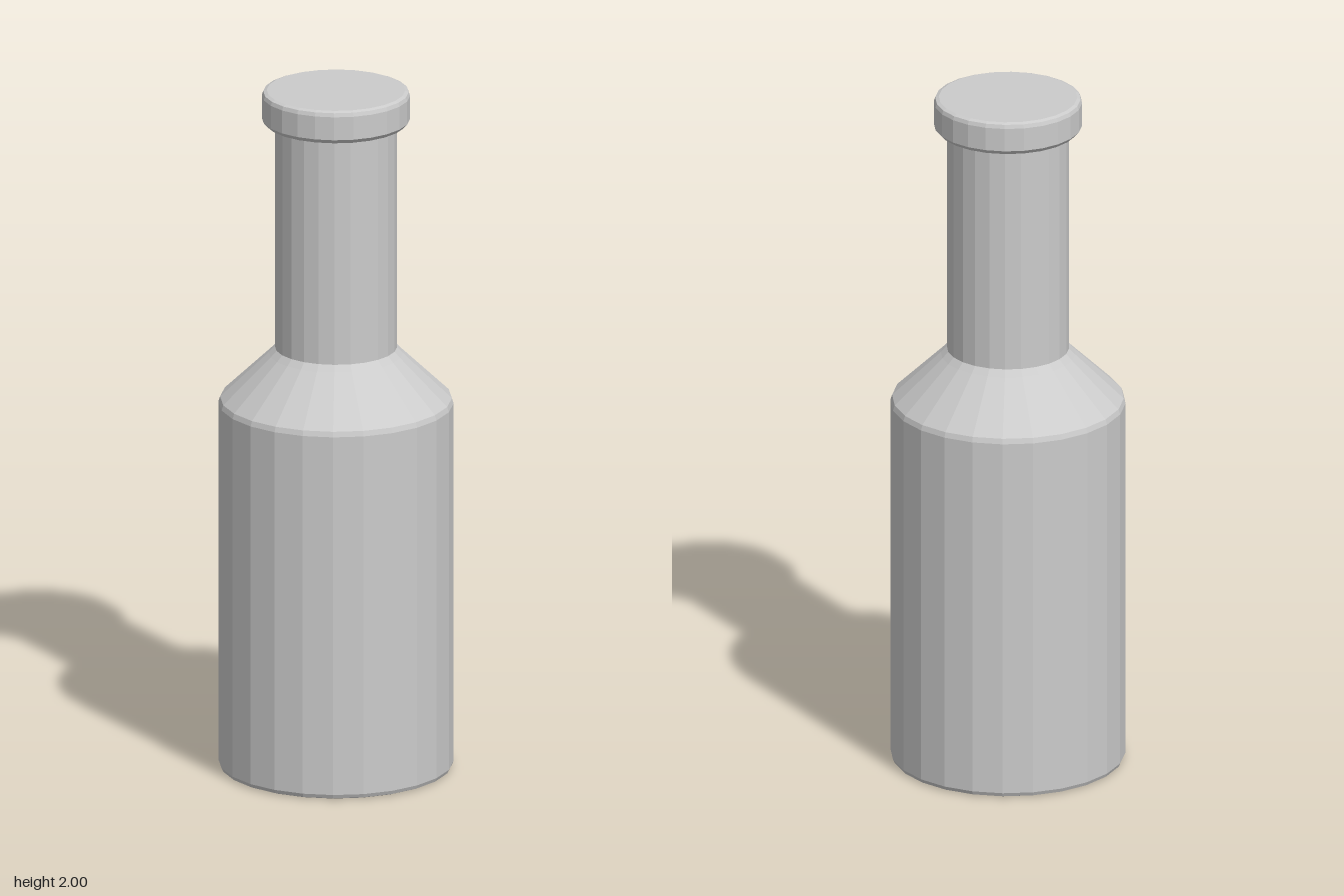
import * as THREE from 'three';

const SIDES = 24;

export function createModel() {
  const bottle = new THREE.Group();
  bottle.name = 'bottle';
  const material = new THREE.MeshStandardMaterial({ color: 0xcccccc, flatShading: true });

  // Each part is a faceted ring section; profile runs bottom to top as [radius, y].
  // The half-step turn puts a flat facet on each of the four sides.
  const addSection = (name, profile) => {
    const points = profile.map(([r, y]) => new THREE.Vector2(r, y));
    const geometry = new THREE.LatheGeometry(points, SIDES, Math.PI / SIDES);
    const mesh = new THREE.Mesh(geometry, material);
    mesh.name = name;
    bottle.add(mesh);
  };

  // Closed base with a small bevel, straight wall
  addSection('body', [[0, 0], [0.318, 0], [0.328, 0.004], [0.333, 0.015], [0.333, 1.075], [0.328, 1.09]]);

  // Sloping shoulder with a soft turn into the neck
  addSection('shoulder', [[0.328, 1.09], [0.19, 1.222], [0.173, 1.24]]);

  addSection('neck', [[0.173, 1.24], [0.173, 1.905]]);

  // Flat-topped lip, bevelled on both rims
  addSection('lip', [[0.173, 1.905], [0.2, 1.905], [0.21, 1.917], [0.21, 1.985], [0.206, 1.996], [0.196, 2], [0, 2]]);

  return bottle;
}
